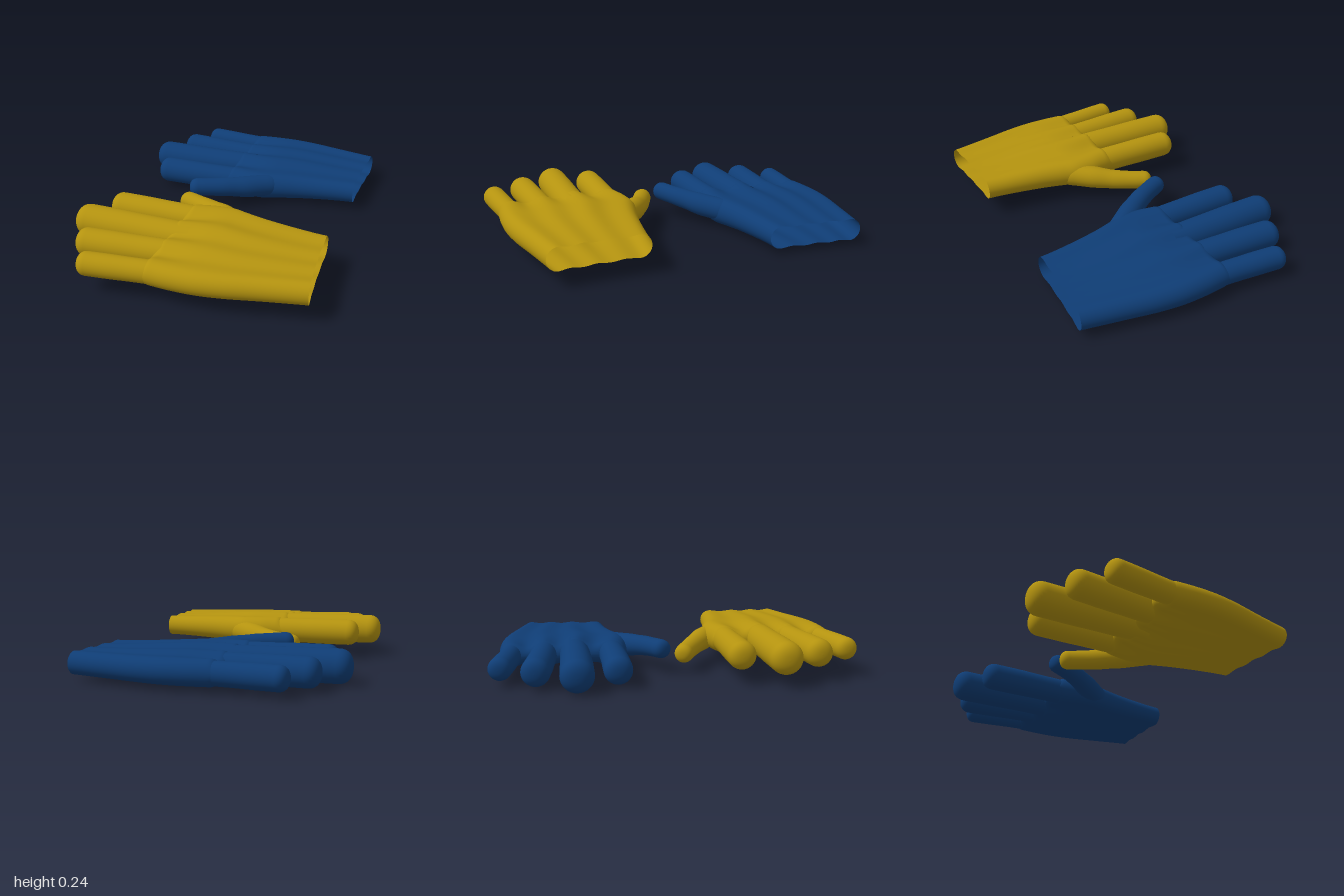
import * as THREE from 'three';

const { lerp, smoothstep } = THREE.MathUtils;
const V = (x, y, z) => new THREE.Vector3(x, y, z);
const MID = 0.155; // height of the hand's middle plane

// Skin over closed rings of points; bend shifts the wrist sideways a little
function loft(rings, bend) {
  const n = rings[0].length, pos = [], index = [];
  rings.forEach((ring, i) => ring.forEach((p, j) => {
    pos.push(p.x, p.y, p.z + bend * smoothstep(p.x, -0.4, 0.6));
    if (i === rings.length - 1) return;
    const a = i * n + j, b = i * n + (j + 1) % n;
    index.push(a, a + n, b, b, a + n, b + n);
  }));
  const g = new THREE.BufferGeometry();
  g.setAttribute('position', new THREE.Float32BufferAttribute(pos, 3));
  g.setIndex(index);
  g.computeVertexNormals();
  return g;
}

// Finger: round tube along a path, ending in a blunt rounded tip
function fingerRings(path, radii, tipLength) {
  const curve = new THREE.CatmullRomCurve3(path);
  const length = curve.getLength(), rings = [];
  const tip = 1 - tipLength / length;
  const us = [];
  for (let i = 0; i < 24; i++) us.push(tip * i / 24);
  for (let i = 0; i <= 14; i++) us.push(tip + (1 - tip) * Math.sin(i / 14 * Math.PI / 2));
  for (const u of us) {
    const p = curve.getPointAt(u), t = curve.getTangentAt(u);
    const side = V(0, 1, 0).cross(t).negate().normalize();
    const up = side.clone().cross(t);
    const k = u * (radii.length - 1), i = Math.min(Math.floor(k), radii.length - 2);
    const s = Math.max(0, (u - tip) / (1 - tip));
    const r = lerp(radii[i], radii[i + 1], smoothstep(k - i, 0, 1))
      * Math.pow(Math.max(0, 1 - Math.pow(s, 2.4)), 1 / 2.4);
    const ring = [];
    for (let j = 0; j < 32; j++) {
      const a = j / 32 * Math.PI * 2;
      ring.push(p.clone().addScaledVector(side, r * Math.cos(a)).addScaledVector(up, r * Math.sin(a)));
    }
    rings.push(ring);
  }
  return rings;
}

// Palm outline: x, thumb-side edge z, little-finger edge z
const OUTLINE = [
  [-0.135, 0.257, 0.957], [-0.06, 0.242, 0.962], [0.02, 0.226, 0.966], [0.12, 0.222, 0.965],
  [0.2, 0.243, 0.958], [0.3, 0.268, 0.942], [0.4, 0.286, 0.92], [0.5, 0.301, 0.896],
  [0.6, 0.314, 0.872], [0.665, 0.32, 0.858],
].map(p => V(...p));
const LOBES = [0.11, 0.4, 0.655, 0.9];          // finger lines across the palm
const HEIGHTS = [0.08, 0.092, 0.08, 0.068];     // half thickness on each line

// Half thickness of the palm, ridged in line with the fingers
function palmHeight(x, t) {
  const flat = smoothstep(x, 0.05, 0.66);
  const valley = lerp(lerp(0.4, 0.16, smoothstep(x, -0.13, 0.15)), 0.12, flat);
  const h = HEIGHTS.map(v => lerp(v, 0.062, flat));
  if (t <= LOBES[0]) return h[0];
  if (t >= LOBES[3]) return h[3];
  const i = t < LOBES[1] ? 0 : t < LOBES[2] ? 1 : 2;
  const u = (t - LOBES[i]) / (LOBES[i + 1] - LOBES[i]);
  return lerp(h[i], h[i + 1], smoothstep(u, 0, 1)) * (1 - valley * (0.5 - 0.5 * Math.cos(2 * Math.PI * u)));
}

// Palm: rings from the webs between the fingers to the open cuff
function palmRings() {
  const curve = new THREE.CatmullRomCurve3(OUTLINE, false, 'catmullrom');
  const rings = [], steps = 60, n = 96;
  for (let i = 0; i <= steps; i++) {
    const { x, y: lo, z: hi } = curve.getPoint(Math.pow(i / steps, 1.6));
    const close = x < -0.08 ? Math.sqrt(Math.max(0, 1 - ((-0.08 - x) / 0.055) ** 2)) : 1;
    const ring = [];
    for (let j = 0; j < n; j++) {
      const a = j / n * Math.PI * 2;
      const z = (lo + hi) / 2 + (hi - lo) / 2 * Math.cos(a), t = (z - lo) / (hi - lo);
      const h = palmHeight(x, t);
      const e = Math.min(1, Math.max(0, Math.min(z - lo, hi - z) / h));
      const y = Math.sign(Math.sin(a)) * h * close * Math.sqrt(1 - (1 - e) ** 2);
      ring.push(V(x + 0.03 * t * t * smoothstep(x, 0.4, 0.665), MID + y, z));
    }
    rings.push(ring);
  }
  return rings;
}

// Straight fingers: tip x, tip z, root z, radius
const FINGERS = {
  indexFinger: [-0.593, 0.325, 0.33, 0.077],
  middleFinger: [-0.7, 0.537, 0.54, 0.089],
  ringFinger: [-0.583, 0.752, 0.708, 0.077],
  littleFinger: [-0.475, 0.94, 0.888, 0.063],
};

function makeGlove(name, material, bend) {
  const glove = new THREE.Group();
  glove.name = name;
  const add = (part, rings) => {
    const mesh = new THREE.Mesh(loft(rings, bend), material);
    mesh.name = part;
    glove.add(mesh);
  };
  add('palm', palmRings());
  for (const [part, [tipX, tipZ, rootZ, r]] of Object.entries(FINGERS)) {
    const path = [V(-0.02, MID, rootZ), V((tipX - 0.02) / 2, MID, (tipZ + rootZ) / 2), V(tipX, MID, tipZ)];
    add(part, fingerRings(path, [r * 0.96, r * 0.97, r, r], r * 0.85));
  }
  // Thumb: angled out and slightly down, widening into the palm
  const thumb = [V(0.25, 0.15, 0.345), V(0.15, 0.145, 0.292), V(0.04, 0.135, 0.212),
    V(-0.08, 0.12, 0.137), V(-0.2, 0.112, 0.079), V(-0.278, 0.108, 0.048)];
  add('thumb', fingerRings(thumb, [0.045, 0.067, 0.066, 0.058, 0.054, 0.053], 0.05));
  return glove;
}

export function createModel() {
  const yellow = new THREE.MeshStandardMaterial({ color: 0xb4930f, side: THREE.DoubleSide });
  yellow.name = 'mustard yellow';
  const blue = new THREE.MeshStandardMaterial({ color: 0x0f3d75, side: THREE.DoubleSide });
  blue.name = 'navy blue';

  const model = new THREE.Group();
  model.name = 'pairOfGloves';
  const front = makeGlove('frontGlove', yellow, 0);
  // The second glove is turned over beside the first
  const back = makeGlove('backGlove', blue, 0.025);
  back.rotation.x = Math.PI;
  back.position.y = 0.25;
  model.add(front, back);
  return model;
}
